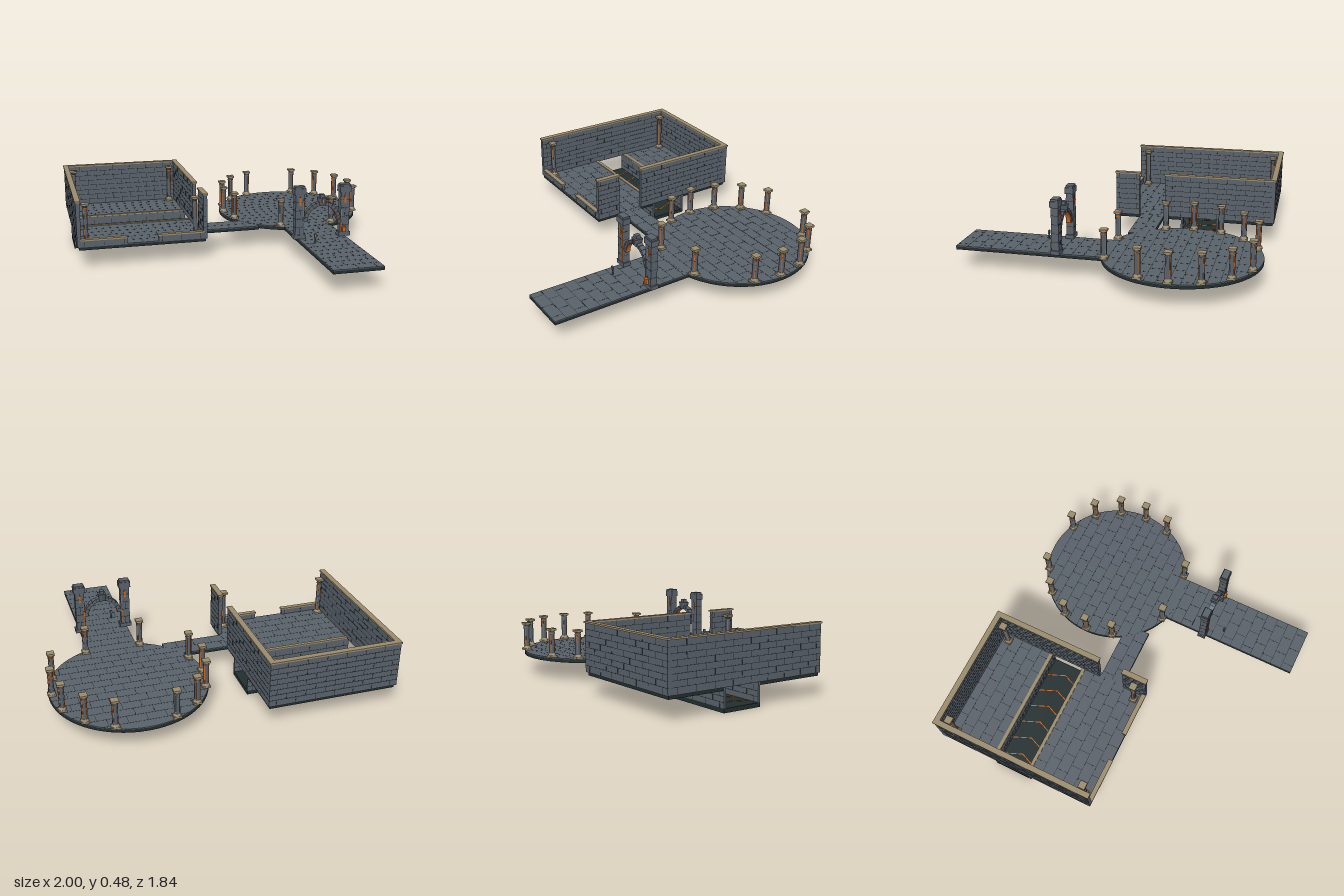
import * as THREE from 'three';
import { mergeGeometries } from 'three/addons/utils/BufferGeometryUtils.js';

const mat = (name, color) => {
  const m = new THREE.MeshStandardMaterial({ color });
  m.name = name;
  return m;
};

export function createModel() {
  const root = new THREE.Group();
  root.name = 'ruinedStation';
  const slate = mat('slate stone', 0x586069);
  const dark = mat('dark stone', 0x222d2d);
  const tan = mat('sandstone trim', 0x998a6b);
  const orange = mat('copper glow', 0xc8651f);
  const BASE = 0.12, TOP = 0.145;

  function add(parent, name, geo, material, x = 0, y = 0, z = 0) {
    const m = new THREE.Mesh(geo, material);
    m.name = name;
    m.position.set(x, y, z);
    parent.add(m);
    return m;
  }
  // box given by its minimum and maximum on each axis
  function span(parent, name, material, x0, x1, y0, y1, z0, z1) {
    return add(parent, name, new THREE.BoxGeometry(x1 - x0, y1 - y0, z1 - z0), material,
      (x0 + x1) / 2, (y0 + y1) / 2, (z0 + z1) / 2);
  }
  function group(name, x = 0, y = 0, z = 0) {
    const g = new THREE.Group();
    g.name = name;
    g.position.set(x, y, z);
    root.add(g);
    return g;
  }

  // running-bond joint lines in the XY plane; halfWidth(v) limits each row
  function joints(h, row, len, depth, halfWidth, shift = 0) {
    const parts = [], t = 0.0025, rows = Math.max(1, Math.round(h / row)), step = h / rows;
    const bar = (w, hh, x, y) => parts.push(new THREE.BoxGeometry(w, hh, depth).translate(x, y, 0));
    for (let i = 0; i < rows; i++) {
      const v = -h / 2 + i * step;
      if (i > 0) bar(2 * halfWidth(v), t, 0, v);
      const half = Math.min(halfWidth(v), halfWidth(v + step));
      const off = shift + (i % 2 ? len / 2 : 0);
      for (let k = -20; k <= 20; k++) {
        const u = off + k * len;
        if (Math.abs(u) < half - 0.008) bar(t, step, u, v + step / 2);
      }
    }
    return mergeGeometries(parts);
  }

  // paved slab: dark body, slate surface, paving joints
  function slab(name, x0, x1, z0, z1, top = TOP) {
    const g = group(name);
    span(g, 'slabBody', dark, x0, x1, BASE, top - 0.006, z0, z1);
    span(g, 'slabSurface', slate, x0, x1, top - 0.006, top, z0, z1);
    const geo = joints(z1 - z0, 0.07, 0.112, 0.001, () => (x1 - x0) / 2);
    add(g, 'pavingJoints', geo.rotateX(-Math.PI / 2), dark, (x0 + x1) / 2, top, (z0 + z1) / 2);
  }
  slab('roomFloorBack', -0.985, -0.195, -0.905, -0.55);
  slab('roomFloorFront', -0.985, -0.195, -0.305, 0.13);
  slab('connectingWalk', -0.195, 0.2, -0.19, -0.035, TOP - 0.001);
  slab('entrancePath', 0.36, 0.67, -0.02, 0.915, TOP - 0.001);

  // round plaza
  const R = 0.475, plaza = group('plaza', 0.515, 0, -0.43);
  add(plaza, 'plazaBody', new THREE.CylinderGeometry(R, R, 0.02, 64), dark, 0, BASE + 0.01);
  add(plaza, 'plazaSurface', new THREE.CylinderGeometry(R, R, 0.006, 64), slate, 0, TOP - 0.003);
  const round = joints(2 * R, 0.068, 0.112, 0.001, v => Math.sqrt(Math.max(0, R * R - v * v)), 0.095);
  add(plaza, 'plazaJoints', round.rotateX(-Math.PI / 2), dark, 0, TOP);

  // brick walls with sandstone coping; runs along x or z
  function wall(name, x0, x1, z0, z1, top) {
    const g = group(name), cap = 0.01, o = 0.005;
    span(g, 'wallBody', slate, x0, x1, BASE + 0.02, top - cap, z0, z1);
    span(g, 'coping', tan, x0 - o, x1 + o, top - cap, top, z0 - o, z1 + o);
    const alongX = x1 - x0 > z1 - z0;
    const len = alongX ? x1 - x0 : z1 - z0, thick = alongX ? z1 - z0 : x1 - x0;
    const geo = joints(top - cap - TOP, 0.035, 0.12, thick + 0.002, () => len / 2);
    if (!alongX) geo.rotateY(Math.PI / 2);
    add(g, 'brickJoints', geo, dark, (x0 + x1) / 2, (TOP + top - cap) / 2, (z0 + z1) / 2);
  }
  wall('leftWall', -0.995, -0.97, -0.89, 0.135, 0.43);
  wall('backWall', -0.995, -0.185, -0.915, -0.89, 0.43);
  wall('rightWallBack', -0.21, -0.185, -0.89, -0.195, 0.43);
  wall('rightWallFront', -0.21, -0.185, -0.025, 0.135, 0.43);
  wall('lowWallA', -0.97, -0.69, 0.115, 0.135, 0.19);
  wall('lowWallB', -0.495, -0.21, 0.115, 0.135, 0.19);

  // sunken channel through the room, open at both ends
  const channel = group('channel');
  span(channel, 'channelFloor', dark, -0.985, -0.195, 0, 0.025, -0.552, -0.303);
  for (const [z0, z1, edge] of [[-0.552, -0.538, -0.55], [-0.317, -0.303, -0.312]]) {
    span(channel, 'channelWall', slate, -0.985, -0.195, 0.025, 0.14, z0, z1);
    span(channel, 'channelTrim', tan, -0.97, -0.21, 0.14, 0.15, edge - 0.011, edge + 0.011);
    add(channel, 'channelJoints', joints(0.095, 0.032, 0.12, 0.016, () => 0.39), dark,
      -0.59, 0.0725, (z0 + z1) / 2);
  }
  // arrow markings on the channel floor
  const arrow = new THREE.Shape([[-0.045, -0.11], [0, 0], [-0.045, 0.11], [-0.051, 0.11], [-0.006, 0], [-0.051, -0.11]]
    .map(p => new THREE.Vector2(...p)));
  const arrowGeo = new THREE.ExtrudeGeometry(arrow, { depth: 0.002, bevelEnabled: false }).rotateX(-Math.PI / 2);
  for (let i = 0; i < 6; i++) add(channel, 'arrowMark', arrowGeo, orange, -0.865 + i * 0.119, 0.025, -0.425);

  // columns: stepped base, octagonal shaft, square capital, copper inlays
  function column(name, x, z, top, r) {
    const g = group(name, x, TOP, z), h = top - TOP;
    add(g, 'plinth', new THREE.BoxGeometry(0.048, 0.012, 0.048), tan, 0, 0.006);
    add(g, 'baseTaper', new THREE.CylinderGeometry(r * 1.05, 0.025, 0.014, 8).rotateY(Math.PI / 8), tan, 0, 0.019);
    add(g, 'shaft', new THREE.CylinderGeometry(r, r, h - 0.04, 8).rotateY(Math.PI / 8), slate, 0, h / 2 + 0.005);
    add(g, 'collar', new THREE.CylinderGeometry(r + 0.002, r + 0.002, 0.004, 8).rotateY(Math.PI / 8), orange, 0, h - 0.03);
    add(g, 'neck', new THREE.CylinderGeometry(0.022, r, 0.01, 8).rotateY(Math.PI / 8), slate, 0, h - 0.017);
    add(g, 'capital', new THREE.BoxGeometry(0.045, 0.013, 0.045), tan, 0, h - 0.0065);
    for (let i = 0; i < 4; i++) {
      const a = Math.PI / 4 + i * Math.PI / 2, d = r * 0.925;
      const s = add(g, 'inlay', new THREE.BoxGeometry(0.004, h - 0.07, 0.004), orange,
        Math.sin(a) * d, h / 2, Math.cos(a) * d);
      s.rotation.y = a;
    }
  }
  for (const x of [-0.935, -0.25]) for (const z of [-0.85, 0.07]) column('roomColumn', x, z, 0.4, 0.015);
  for (const [dx, z] of [[0.175, -0.855], [0.325, -0.755], [0.425, -0.605], [0.457, -0.43], [0.425, -0.255], [0.175, -0.005]])
    for (const s of [-1, 1]) column('plazaColumn', 0.515 + s * dx, z, 0.325, 0.018);

  // gateway on the path
  const gate = group('gateway', 0.515, 0, 0.285);
  for (const s of [-1, 1]) {
    const x = s * 0.149;
    add(gate, 'pylonBase', new THREE.BoxGeometry(0.076, 0.025, 0.052), slate, x, TOP + 0.0125);
    add(gate, 'pylonShaft', new THREE.BoxGeometry(0.058, 0.27, 0.044), slate, x, 0.3);
    add(gate, 'pylonCap', new THREE.BoxGeometry(0.076, 0.038, 0.052), slate, x, 0.449);
    add(gate, 'pylonTop', new THREE.BoxGeometry(0.064, 0.012, 0.044), slate, x, 0.474);
    add(gate, 'pylonJoints', joints(0.27, 0.055, 0.2, 0.046, () => 0.0295), dark, x, 0.3);
    for (const f of [-1, 1]) {
      add(gate, 'pylonInlay', new THREE.BoxGeometry(0.005, 0.22, 0.004), orange, x - s * 0.024, 0.29, f * 0.022);
      add(gate, 'pylonLamp', new THREE.BoxGeometry(0.012, 0.05, 0.005), orange, x, 0.385, f * 0.022);
    }
  }
  add(gate, 'controlBox', new THREE.BoxGeometry(0.022, 0.035, 0.016), orange, 0.142, 0.19, 0.03);

  // arch of separate wedge stones with a copper lining
  const arc = (r0, r1, a0, a1, depth) => {
    const s = new THREE.Shape();
    s.absarc(0, 0, r1, a0, a1, false);
    s.absarc(0, 0, r0, a1, a0, true);
    return new THREE.ExtrudeGeometry(s, { depth, bevelEnabled: false, curveSegments: 4 }).translate(0, 0, -depth / 2);
  };
  const N = 13, step = Math.PI / N;
  for (let i = 0; i < N; i++) {
    add(gate, 'archStone', arc(0.099, 0.121, i * step + 0.012, (i + 1) * step - 0.012, 0.034), slate, 0, 0.253);
    add(gate, 'archLining', arc(0.096, 0.1, i * step, (i + 1) * step, 0.026), orange, 0, 0.253);
    add(gate, 'archMortar', arc(0.1, 0.118, i * step, (i + 1) * step, 0.03), dark, 0, 0.253);
  }
  add(gate, 'keystone', new THREE.CylinderGeometry(0.035, 0.026, 0.05, 4).rotateY(Math.PI / 4), slate, 0, 0.375);
  add(gate, 'keystoneCap', new THREE.BoxGeometry(0.028, 0.02, 0.03), slate, 0, 0.41);
  add(gate, 'keystoneGem', new THREE.BoxGeometry(0.012, 0.02, 0.004), orange, 0, 0.38, 0.0245);

  // small post beside the path
  const post = group('signalPost', 0.435, TOP, 0.405);
  add(post, 'postStem', new THREE.CylinderGeometry(0.004, 0.005, 0.04, 8), slate, 0, 0.02);
  add(post, 'postHead', new THREE.BoxGeometry(0.016, 0.022, 0.01), slate, 0, 0.046);
  add(post, 'postLight', new THREE.BoxGeometry(0.008, 0.01, 0.003), orange, 0, 0.047, 0.0055);

  return root;
}
